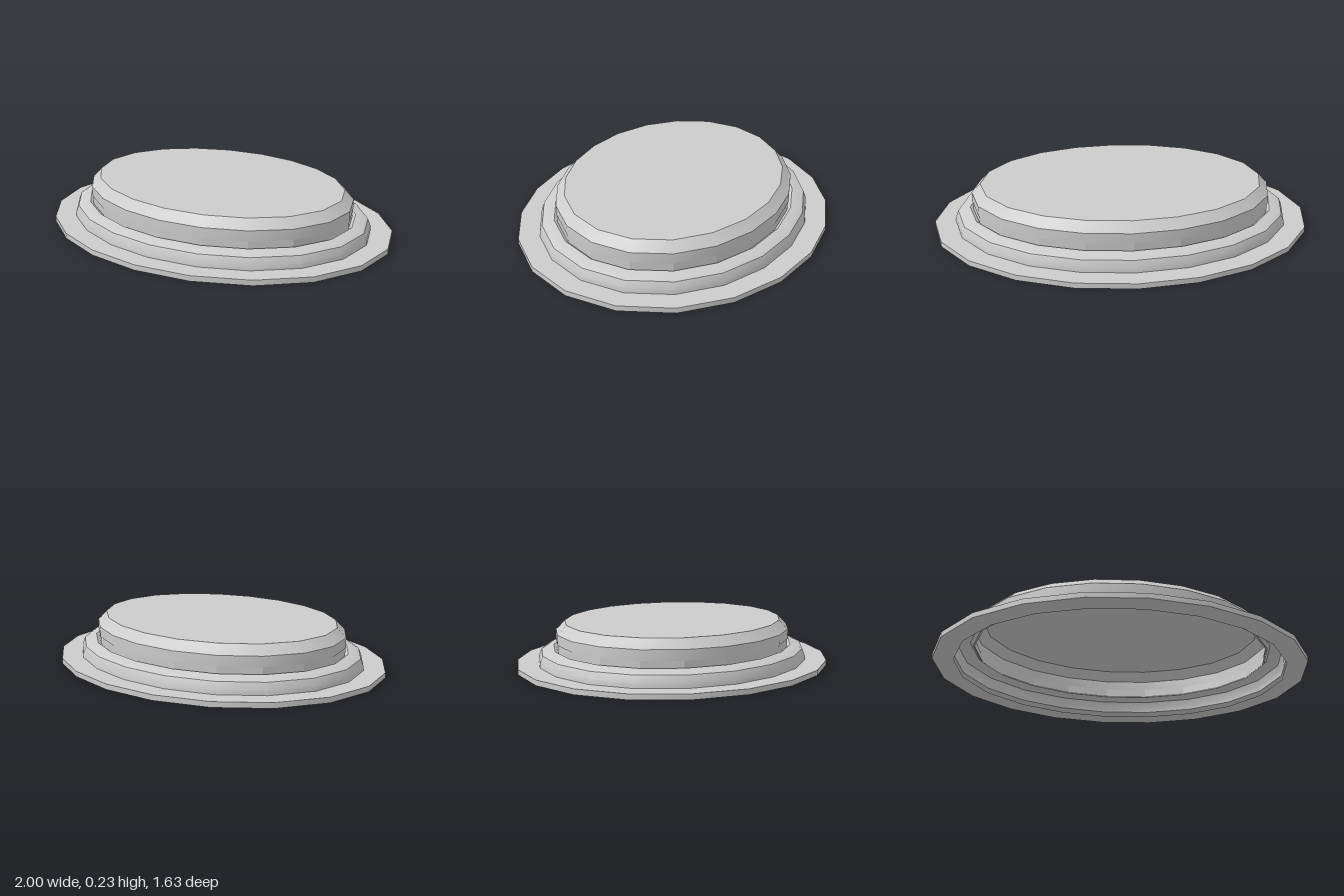
import * as THREE from 'three';
import { toCreasedNormals } from 'three/addons/utils/BufferGeometryUtils.js';

const SIDES = 20;
const DEPTH_INSET = 0.184; // the oval is this much narrower in z than in x

// Sweeps a profile of [radius, height] points, bottom to top, around the oval
function ovalSweep(name, profile, crease = 0.45) {
  const positions = [];
  const index = [];
  for (const [r, y] of profile) {
    for (let j = 0; j < SIDES; j++) {
      const t = (j / SIDES) * Math.PI * 2;
      const a = t + 0.03 * Math.sin(2 * t);
      positions.push(r * Math.cos(a), y, Math.max(r - DEPTH_INSET, 0) * Math.sin(a));
    }
  }
  for (let i = 0; i < profile.length - 1; i++) {
    for (let j = 0; j < SIDES; j++) {
      const a = i * SIDES + j;
      const b = i * SIDES + ((j + 1) % SIDES);
      const c = a + SIDES;
      const d = b + SIDES;
      index.push(a, c, b);
      if (profile[i + 1][0] > 0) index.push(c, d, b);
    }
  }
  const geometry = new THREE.BufferGeometry();
  geometry.setAttribute('position', new THREE.Float32BufferAttribute(positions, 3));
  geometry.setIndex(index);
  const material = new THREE.MeshStandardMaterial({ color: 0xcccccc, side: THREE.DoubleSide });
  const mesh = new THREE.Mesh(toCreasedNormals(geometry, crease), material);
  mesh.name = name;
  return mesh;
}

export function createModel() {
  const group = new THREE.Group();
  group.name = 'ovalLid';

  // Flat rim plate, open in the middle
  group.add(ovalSweep('flange', [[0.89, 0], [1, 0], [1, 0.027], [0.89, 0.027]]));

  // Rounded step with a lip that dips inward to the cap
  group.add(ovalSweep('steppedRing', [
    [0.89, 0.027], [0.888, 0.05], [0.874, 0.085], [0.855, 0.094], [0.81, 0.104], [0.785, 0.085],
  ]));

  // Faceted collar joining the ring to the cap
  group.add(ovalSweep('collar', [[0.793, 0.085], [0.795, 0.135]], 0.05));

  // Raised cap with bevelled edge and flat top
  group.add(ovalSweep('cap', [[0.797, 0.135], [0.797, 0.187], [0.784, 0.198], [0.75, 0.234], [0, 0.234]]));

  return group;
}
